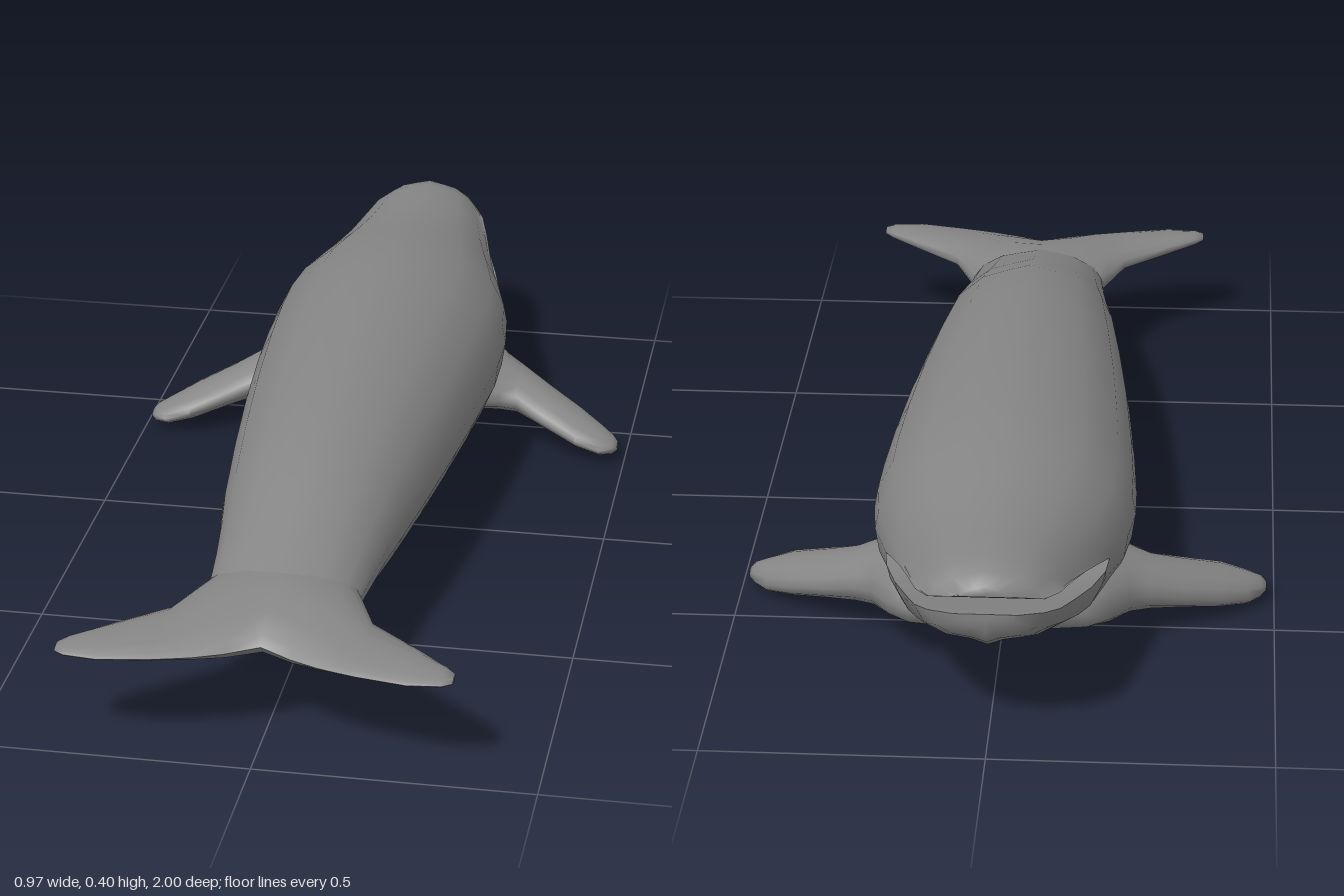
import * as THREE from 'three';
import { mergeGeometries, toCreasedNormals } from 'three/addons/utils/BufferGeometryUtils.js';

const material = new THREE.MeshStandardMaterial({ color: 0x858585 });

// Right half of the body cross-section, from back ridge to belly keel
const HALF = [[0, 1], [0.3, 0.9], [0.57, 0.79], [0.85, 0.5], [0.97, 0.2], [1, 0],
  [0.97, -0.25], [0.86, -0.55], [0.57, -0.79], [0.22, -0.88], [0, -1]];
const OUTLINE = [...HALF, ...HALF.slice(1, -1).reverse().map(([x, y]) => [-x, y])];

// Body ring across z, with its height limited to lo..hi
function bodyRing(z, w, top, bottom, lo = -9, hi = 9) {
  const mid = (top + bottom) / 2, h = (top - bottom) / 2;
  return OUTLINE.map(([x, y]) =>
    new THREE.Vector3(x * w, THREE.MathUtils.clamp(mid + y * h, lo, hi), z));
}

// Fin ring across x: round leading edge, thinner trailing edge
function finRing(x, lead, trail, top, bottom) {
  return Array.from({ length: 14 }, (_, i) => {
    const a = (i / 14) * Math.PI * 2, c = Math.cos(a);
    const h = (top - bottom) / 2 * (1 - 0.4 * Math.max(c, 0));
    return new THREE.Vector3(x, (top + bottom) / 2 + Math.sin(a) * h,
      (lead + trail) / 2 + c * (trail - lead) / 2);
  });
}

// Skin closed rings, cap both ends, and turn all faces outward
function loft(rings) {
  const n = rings[0].length, last = rings.length - 1, points = rings.flat(), faces = [];
  for (let r = 0; r < last; r++) {
    for (let i = 0; i < n; i++) {
      const a = r * n + i, b = r * n + (i + 1) % n;
      faces.push([a, b, b + n], [a, b + n, a + n]);
    }
  }
  for (const r of [0, last]) {
    const centre = new THREE.Vector3();
    rings[r].forEach((p) => centre.addScaledVector(p, 1 / n));
    const c = points.push(centre) - 1;
    for (let i = 0; i < n; i++) {
      const a = r * n + i, b = r * n + (i + 1) % n;
      faces.push(r === 0 ? [c, b, a] : [c, a, b]);
    }
  }
  const cross = new THREE.Vector3();
  const volume = faces.reduce((sum, [a, b, c]) =>
    sum + points[a].dot(cross.crossVectors(points[b], points[c])), 0);
  const index = faces.flatMap(([a, b, c]) => (volume > 0 ? [a, b, c] : [a, c, b]));
  const geometry = new THREE.BufferGeometry().setFromPoints(points);
  geometry.setIndex(index);
  return geometry;
}

function part(name, geometry, crease) {
  const mesh = new THREE.Mesh(toCreasedNormals(geometry, crease), material);
  mesh.name = name;
  return mesh;
}

export function createModel() {
  const model = new THREE.Group();
  model.name = 'whale';

  // Trunk from tail stock to mouth corner: z, half width, top, bottom
  const trunk = loft([
    [0.87, 0.03, 0.2, 0.175], [0.8, 0.09, 0.222, 0.145], [0.7, 0.137, 0.255, 0.11],
    [0.6, 0.146, 0.285, 0.09], [0.5, 0.157, 0.317, 0.077], [0.4, 0.172, 0.345, 0.065],
    [0.2, 0.195, 0.373, 0.045], [0, 0.215, 0.39, 0.03], [-0.2, 0.231, 0.4, 0.014],
    [-0.35, 0.24, 0.403, 0], [-0.45, 0.241, 0.4, 0.012], [-0.55, 0.23, 0.392, 0.034],
    [-0.66, 0.2, 0.378, 0.065],
  ].map((s) => bodyRing(...s)));

  // Upper jaw: the last number is the height of the palate
  const upperJaw = loft([
    [-0.66, 0.2, 0.378, 0.065, 0.22], [-0.7, 0.187, 0.373, 0.08, 0.233],
    [-0.78, 0.163, 0.366, 0.11, 0.256], [-0.86, 0.143, 0.362, 0.15, 0.277],
    [-0.93, 0.124, 0.36, 0.19, 0.291], [-0.975, 0.1, 0.352, 0.22, 0.301],
    [-1, 0.05, 0.335, 0.26, 0.315],
  ].map((s) => bodyRing(...s)));

  // Lower jaw: the last number is the height of the mouth floor
  const lowerJaw = loft([
    [-0.66, 0.2, 0.378, 0.065, 0.22], [-0.7, 0.195, 0.373, 0.08, 0.216],
    [-0.78, 0.174, 0.365, 0.113, 0.226], [-0.86, 0.148, 0.362, 0.15, 0.243],
    [-0.93, 0.126, 0.36, 0.187, 0.261], [-0.965, 0.1, 0.35, 0.21, 0.27],
    [-0.985, 0.055, 0.335, 0.24, 0.274],
  ].map(([z, w, top, bottom, floor]) => bodyRing(z, w, top, bottom, -9, floor)));

  model.add(part('bodyAndJaws', mergeGeometries([trunk, upperJaw, lowerJaw]), 1));

  // Tail flukes, lofted from tip to tip: x, leading z, trailing z, top, bottom
  const fluke = [
    [0, 0.55, 0.9, 0.25, 0.12], [0.06, 0.57, 0.935, 0.24, 0.128],
    [0.11, 0.62, 0.958, 0.228, 0.142], [0.145, 0.7, 0.97, 0.217, 0.155],
    [0.18, 0.79, 0.98, 0.209, 0.164], [0.27, 0.87, 0.998, 0.205, 0.171],
    [0.33, 0.925, 0.992, 0.2, 0.177], [0.348, 0.945, 0.98, 0.194, 0.183],
  ];
  const otherFluke = fluke.slice(1).reverse().map(([x, ...s]) => [-x, ...s]);
  model.add(part('tailFlukes', loft([...otherFluke, ...fluke].map((s) => finRing(...s))), 1.3));

  // Flippers, flaring into the shoulder and swept back and down
  for (const [name, side] of [['leftFlipper', 1], ['rightFlipper', -1]]) {
    const rings = [
      [0.08, -0.7, -0.32, 0.19, 0.045], [0.16, -0.68, -0.34, 0.185, 0.043],
      [0.2, -0.64, -0.37, 0.175, 0.043], [0.235, -0.58, -0.395, 0.157, 0.043],
      [0.27, -0.555, -0.405, 0.14, 0.042], [0.33, -0.52, -0.37, 0.112, 0.03],
      [0.4, -0.475, -0.335, 0.084, 0.012], [0.45, -0.435, -0.333, 0.06, 0.004],
      [0.475, -0.405, -0.345, 0.048, 0.01], [0.485, -0.39, -0.36, 0.036, 0.02],
    ].map(([x, ...s]) => finRing(side * x, ...s));
    model.add(part(name, loft(rings), 1.3));
  }
  return model;
}
